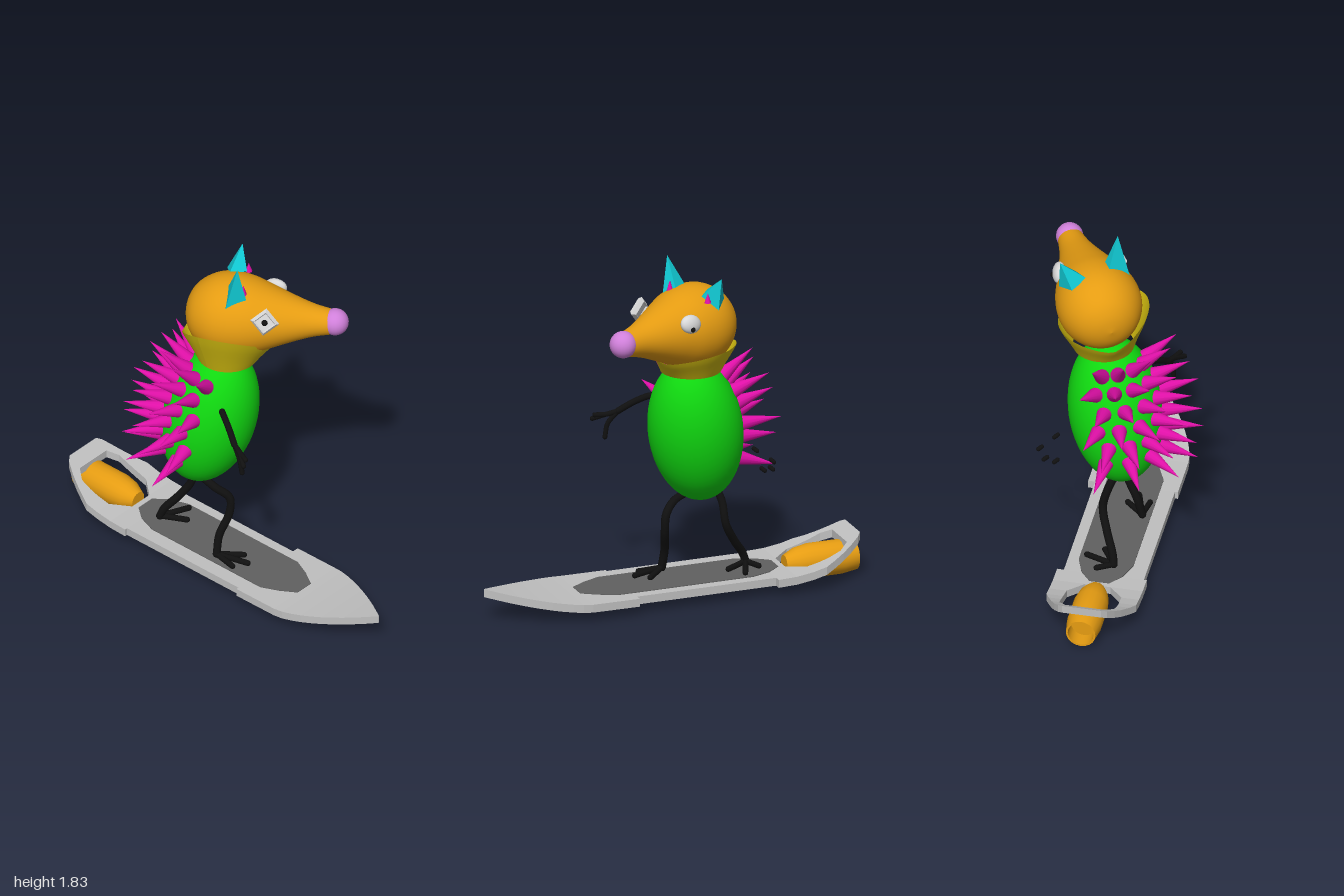
import * as THREE from 'three';
import { toCreasedNormals } from 'three/addons/utils/BufferGeometryUtils.js';
import { ConvexGeometry } from 'three/addons/geometries/ConvexGeometry.js';

const V = (a) => new THREE.Vector3(...a);
const colours = {
  orange: 0xe59c12, green: 0x10d810, magenta: 0xe010a8, cyan: 0x10c6d0, yellow: 0xd2bc10,
  lilac: 0xd080da, black: 0x101010, lightGrey: 0xc0c0c0, darkGrey: 0x606060, eyeWhite: 0xd8d8d8,
};

export function createModel() {
  const root = new THREE.Group();
  root.name = 'ridingCreature';
  const mats = {};
  for (const [name, color] of Object.entries(colours)) {
    mats[name] = new THREE.MeshStandardMaterial({ color });
    mats[name].name = name;
  }
  mats.yellow.side = THREE.DoubleSide;

  const add = (name, geo, mat, pos = [0, 0, 0], parent = root) => {
    const m = new THREE.Mesh(geo, mats[mat]);
    m.name = name;
    m.position.set(...pos);
    parent.add(m);
    return m;
  };
  // turn a mesh so that its local axis points along dir
  const aim = (m, axis, dir) => m.quaternion.setFromUnitVectors(V(axis), V(dir).normalize());
  const faceted = (g) => {
    const f = g.index ? g.toNonIndexed() : g;
    f.computeVertexNormals();
    return f;
  };
  // rounded limb through points
  const limb = (name, pts, r) => {
    const curve = new THREE.CatmullRomCurve3(pts.map(V));
    add(name, new THREE.TubeGeometry(curve, pts.length * 5, r, 8), 'black');
    for (const p of [pts[0], pts[pts.length - 1]]) add(name + 'End', new THREE.SphereGeometry(r, 8, 6), 'black', p);
  };
  // bent slab from stations [x, z0, z1]
  const slab = (name, stations, top, thick, mat) => {
    const pos = [], idx = [];
    for (const [x, z0, z1] of stations) {
      const y = top(x);
      pos.push(x, y, z0, x, y, z1, x, y - thick, z1, x, y - thick, z0);
    }
    const n = stations.length;
    for (let i = 0; i < n - 1; i++) for (let k = 0; k < 4; k++) {
      const a = i * 4 + k, b = i * 4 + (k + 1) % 4;
      idx.push(a, b, b + 4, a, b + 4, a + 4);
    }
    const e = (n - 1) * 4;
    idx.push(0, 2, 1, 0, 3, 2, e, e + 1, e + 2, e, e + 2, e + 3);
    const g = new THREE.BufferGeometry();
    g.setAttribute('position', new THREE.Float32BufferAttribute(pos, 3));
    g.setIndex(idx);
    add(name, faceted(g), mat);
  };

  // Board: flat middle, both ends curving up, open tail ring
  const zc = -0.015;
  const deck = (x) => 0.095 + 0.075 * Math.max(0, (x - 0.45) / 0.55) ** 1.6
    + 0.155 * Math.max(0, (-0.5 - x) / 0.5) ** 2.3;
  const half = (x, h) => [x, zc - h, zc + h];
  const main = [half(-0.6, 0.23), half(-0.5, 0.23), [-0.5, -0.21, 0.2], [0.25, -0.21, 0.2], half(0.25, 0.23), half(0.5, 0.23)];
  for (let i = 1; i <= 10; i++) {
    const u = i / 10;
    main.push(half(0.5 + 0.5 * u, 0.23 * (1 - u ** 1.55) + 0.002));
  }
  slab('boardDeck', main, deck, 0.042, 'lightGrey');
  const rail = [[-0.92, 0.1, 0.155], [-0.87, 0.14, 0.18], [-0.81, 0.143, 0.207], [-0.76, 0.143, 0.23], [-0.69, 0.14, 0.23], [-0.6, 0.065, 0.23]];
  slab('boardTailRailLeft', rail.map(([x, a, b]) => [x, zc + a, zc + b]), deck, 0.042, 'lightGrey');
  slab('boardTailRailRight', rail.map(([x, a, b]) => [x, zc - b, zc - a]), deck, 0.042, 'lightGrey');
  slab('boardTailBar', [half(-0.99, 0.1), half(-0.97, 0.125), half(-0.92, 0.155)], deck, 0.042, 'lightGrey');
  slab('gripPad', [half(-0.57, 0.05), half(-0.5, 0.105), half(-0.4, 0.14), half(0.33, 0.14), half(0.42, 0.1), half(0.5, 0.05)],
    () => 0.099, 0.006, 'darkGrey');

  // Thruster with a hollow rear end
  const jet = [[0, 0.08], [0.066, 0.08], [0.066, 0], [0.076, 0], [0.088, 0.08], [0.088, 0.25], [0.075, 0.32], [0.045, 0.38], [0, 0.38]];
  const jetGeo = new THREE.LatheGeometry(jet.map((p) => new THREE.Vector2(...p)), 20);
  aim(add('thruster', toCreasedNormals(jetGeo, 0.5), 'orange', [-1, 0.09, -0.018]), [0, 1, 0], [1, 0, 0]);

  // Body with rows of spikes on its back
  const body = new THREE.Group();
  body.name = 'body';
  body.position.set(-0.14, 0.875, -0.02);
  aim(body, [0, 1, 0], [0.17, 1, -0.16]);
  root.add(body);
  add('torso', new THREE.SphereGeometry(1, 40, 28), 'green', [0, 0, 0], body).scale.set(0.24, 0.395, 0.24);
  const spike = new THREE.ConeGeometry(0.042, 0.22, 12);
  spike.translate(0, 0.095, 0);
  [-0.55, -0.3, -0.05, 0.2, 0.45, 0.67].forEach((s, row) => {
    const count = row === 0 ? 4 : 5, c = Math.sqrt(1 - s * s);
    for (let i = 0; i < count; i++) {
      const az = THREE.MathUtils.degToRad(-10 + (row % 2) * 10 + i * 105 / (count - 1));
      const x = -Math.cos(az) * c, z = Math.sin(az) * c;
      const m = add('spike', spike, 'magenta', [0.236 * x, 0.39 * s, 0.236 * z], body);
      aim(m, [0, 1, 0], [x / 0.24, s / 0.36, z / 0.24]);
    }
  });

  // Collar: flared band whose rim rises on one side
  const collar = new THREE.CylinderGeometry(1, 1, 1, 40, 6, true);
  const cp = collar.attributes.position;
  for (let i = 0; i < cp.count; i++) {
    const a = Math.atan2(cp.getZ(i), cp.getX(i)), v = cp.getY(i) + 0.5;
    const rim = 1.32 + 0.15 * Math.max(0, Math.cos(a - 1.15)) + 0.05 * Math.max(0, Math.cos(a + 2.3));
    const r = 0.155 + 0.075 * Math.sin(v * Math.PI / 2) - 0.015 * Math.sin(v * Math.PI);
    cp.setXYZ(i, -0.085 + r * Math.cos(a), 1.225 + (rim - 1.225) * v, -0.095 + r * Math.sin(a));
  }
  collar.computeVertexNormals();
  add('collar', collar, 'yellow');

  // Head and nose
  const c0 = V([-0.08, 1.47, -0.12]), dir = V([0.88, 0.07, -0.47]).normalize();
  const outline = new THREE.SplineCurve([[0, -0.235], [0.08, -0.218], [0.15, -0.172], [0.2, -0.09], [0.215, 0], [0.2, 0.1],
    [0.164, 0.2], [0.122, 0.31], [0.085, 0.42], [0.064, 0.52], [0.058, 0.55]].map((p) => new THREE.Vector2(...p)));
  const profile = outline.getPoints(40);
  profile.forEach((p) => { p.x = Math.max(0, p.x); });
  aim(add('head', new THREE.LatheGeometry(profile, 40), 'orange', c0.toArray()), [0, 1, 0], dir.toArray());
  add('nose', new THREE.SphereGeometry(0.069, 24, 16), 'lilac', [0.39, 1.51, -0.37]);

  // Right eye: square framed; left eye: smooth oval
  const eyeGroup = (name, pos, out) => {
    const g = new THREE.Group();
    g.name = name;
    g.position.set(...pos);
    aim(g, [0, 0, 1], out);
    root.add(g);
    return g;
  };
  const right = eyeGroup('rightEye', [0.185, 1.572, -0.07], [0.62, 0.3, 0.8]);
  add('eyeFrame', faceted(new THREE.TorusGeometry(0.056, 0.018, 4, 4)), 'eyeWhite', [0, 0, 0], right);
  const plate = new THREE.CylinderGeometry(0.05, 0.05, 0.02, 4);
  plate.rotateX(Math.PI / 2);
  add('eyePlate', faceted(plate), 'eyeWhite', [0, 0, 0], right);
  add('pupil', new THREE.SphereGeometry(0.016, 12, 8), 'black', [0, 0, 0.012], right);
  const left = eyeGroup('leftEye', [0.015, 1.56, -0.345], [-0.3, 0.25, -0.9]);
  add('eyeball', new THREE.SphereGeometry(1, 20, 14), 'eyeWhite', [0, 0, 0], left).scale.set(0.048, 0.06, 0.032);
  add('pupil', new THREE.SphereGeometry(0.013, 12, 8), 'black', [-0.028, 0.005, 0.024], left);

  // Ears: four-sided pyramids with a small inner cone
  const ears = {
    rightEar: [[-0.085, 1.63, -0.08], [0.06, 1.63, -0.075], [0, 1.605, 0.022], [0, 1.65, -0.115], [0.023, 1.83, -0.045]],
    leftEar: [[-0.21, 1.63, -0.23], [-0.085, 1.66, -0.24], [-0.14, 1.665, -0.17], [-0.15, 1.6, -0.31], [-0.17, 1.76, -0.3]],
  };
  for (const [name, pts] of Object.entries(ears)) add(name, faceted(new ConvexGeometry(pts.map(V))), 'cyan');
  add('rightInnerEar', new THREE.ConeGeometry(0.02, 0.06, 8), 'magenta', [0.025, 1.68, -0.088]);
  add('leftInnerEar', new THREE.ConeGeometry(0.018, 0.05, 8), 'magenta', [-0.105, 1.66, -0.275]);

  // Right arm and fingers
  const wrist = [0.2, 0.95, 0.175];
  limb('rightArm', [[0.02, 1.04, 0.08], [0.06, 1.035, 0.105], [0.13, 1, 0.14], wrist], 0.017);
  for (const [mid, tip] of [[[0.26, 0.93, 0.2], [0.315, 0.905, 0.235]], [[0.25, 0.885, 0.19], [0.265, 0.815, 0.19]], [[0.25, 0.935, 0.19], [0.31, 0.93, 0.215]]])
    limb('rightFinger', [wrist, mid, tip], 0.013);

  // Left hand: only the fingertips show beside the body
  for (const [x, y, z] of [[-0.37, 0.74, -0.36], [-0.43, 0.725, -0.32], [-0.46, 0.74, -0.26], [-0.36, 0.82, -0.28]])
    limb('leftFingertip', [[x + 0.006, y + 0.005, z + 0.008], [x - 0.006, y - 0.005, z - 0.008]], 0.011);

  // Legs and three-toed feet
  const legs = [
    ['backLeg', [[-0.26, 0.54, 0], [-0.28, 0.47, -0.03], [-0.29, 0.36, -0.055], [-0.35, 0.25, -0.02], [-0.41, 0.165, 0.02], [-0.43, 0.115, 0.03]],
      [[-0.31, 0.11, -0.04], [-0.37, 0.11, -0.12], [-0.47, 0.11, -0.05]]],
    ['frontLeg', [[-0.13, 0.52, 0.05], [-0.05, 0.485, 0.04], [0.01, 0.43, 0], [0.015, 0.34, 0.005], [-0.005, 0.22, 0.06], [0, 0.12, 0.085]],
      [[0.165, 0.115, 0.035], [0.12, 0.11, 0.1], [0.1, 0.11, -0.01]]],
  ];
  for (const [name, path, toes] of legs) {
    limb(name, path, 0.021);
    const heel = path[path.length - 1];
    for (const tip of toes) limb(name + 'Toe', [heel, heel.map((h, i) => (h + tip[i]) / 2), tip], 0.015);
  }
  return root;
}
